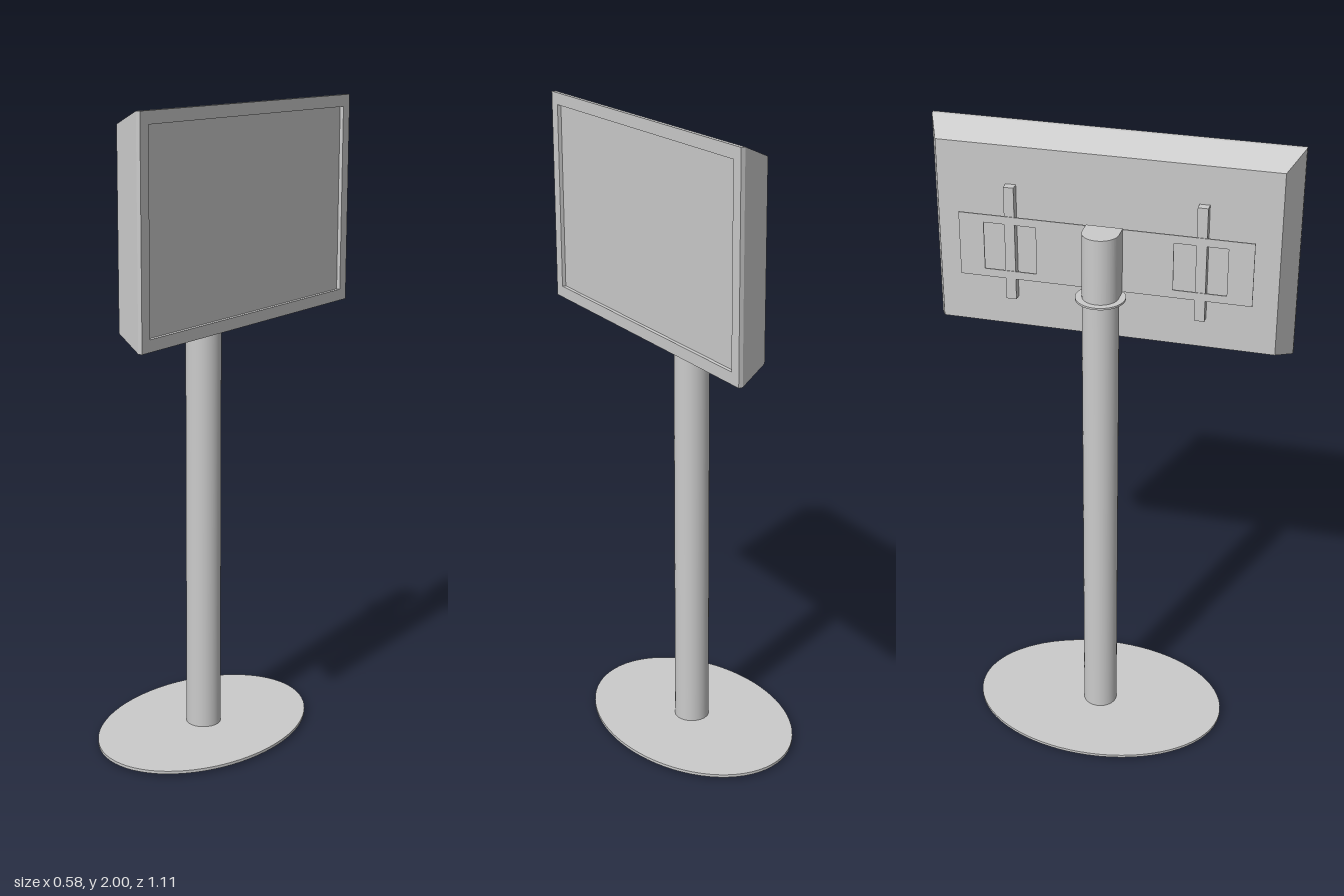
import * as THREE from 'three';

const material = new THREE.MeshStandardMaterial({ color: 0xcccccc });
const flatMaterial = new THREE.MeshStandardMaterial({ color: 0xcccccc, flatShading: true });

function add(group, name, geometry, x = 0, y = 0, z = 0, mat = material) {
  const mesh = new THREE.Mesh(geometry, mat);
  mesh.name = name;
  mesh.position.set(x, y, z);
  group.add(mesh);
  return mesh;
}

// Skins rectangular sections [x, halfWidth, bottom, top] from back to front, capped at both ends
function rectLoft(sections) {
  const points = [];
  const index = [];
  for (const [x, h, y0, y1] of sections) {
    points.push(x, y0, h, x, y0, -h, x, y1, -h, x, y1, h);
  }
  for (let s = 0; s < sections.length - 1; s++) {
    for (let i = 0; i < 4; i++) {
      const a = s * 4 + i, b = s * 4 + (i + 1) % 4;
      index.push(a, b, b + 4, a, b + 4, a + 4);
    }
  }
  const e = (sections.length - 1) * 4;
  index.push(0, 2, 1, 0, 3, 2, e, e + 1, e + 2, e, e + 2, e + 3);
  const geometry = new THREE.BufferGeometry();
  geometry.setAttribute('position', new THREE.Float32BufferAttribute(points, 3));
  geometry.setIndex(index);
  const flat = geometry.toNonIndexed();
  flat.computeVertexNormals();
  return flat;
}

// Upright prism, round at the back and cut flat at x = cut
function roundedBackPrism(shape, height) {
  const geometry = new THREE.ExtrudeGeometry(shape, { depth: height, bevelEnabled: false, curveSegments: 32 });
  return geometry.rotateX(-Math.PI / 2);
}

function rectPath(path, x0, x1, y0, y1) {
  path.moveTo(x0, y0);
  path.lineTo(x1, y0);
  path.lineTo(x1, y1);
  path.lineTo(x0, y1);
  path.closePath();
  return path;
}

export function createModel() {
  const model = new THREE.Group();
  model.name = 'displayStand';

  // Oval foot plate
  const base = new THREE.CylinderGeometry(1, 1, 0.009, 72);
  base.scale(0.29, 1, 0.413);
  add(model, 'basePlate', base, 0, 0.0125, 0);

  // Four small pads under the plate
  for (const [x, z] of [[0.26, 0], [-0.26, 0], [0, 0.26], [0, -0.26]]) {
    add(model, 'footPad', new THREE.CylinderGeometry(0.012, 0.012, 0.008, 16), x, 0.004, z);
  }

  // Column
  add(model, 'post', new THREE.CylinderGeometry(0.055, 0.055, 1.543, 48), 0, 0.7745, 0);

  // Thin collar, trimmed on the screen side
  const collar = new THREE.Shape();
  const a = Math.acos(0.055 / 0.075);
  collar.absarc(0, 0, 0.075, a, Math.PI * 2 - a, false);
  collar.closePath();
  add(model, 'collar', roundedBackPrism(collar, 0.006), 0, 1.542, 0);

  // Mounting head: half round with a flat face toward the plate
  const head = new THREE.Shape();
  head.moveTo(0.045, 0.055);
  head.lineTo(0, 0.055);
  head.absarc(0, 0, 0.055, Math.PI / 2, Math.PI * 1.5, false);
  head.lineTo(0.045, -0.055);
  head.closePath();
  add(model, 'mountHead', roundedBackPrism(head, 0.205), 0, 1.547, 0);

  // Wall-mount plate with a window on each side
  const plate = rectPath(new THREE.Shape(), -0.443, 0.443, -0.1, 0.1);
  for (const s of [-1, 1]) {
    plate.holes.push(rectPath(new THREE.Path(), s * 0.287 - 0.08, s * 0.287 + 0.08, -0.075, 0.075));
  }
  const plateGeometry = new THREE.ExtrudeGeometry(plate, { depth: 0.004, bevelEnabled: false });
  plateGeometry.rotateY(Math.PI / 2);
  add(model, 'mountPlate', plateGeometry, 0.042, 1.65, 0);

  // Vertical rails holding the screen
  for (const s of [-1, 1]) {
    add(model, 'mountRail', new THREE.BoxGeometry(0.027, 0.36, 0.031), 0.0575, 1.662, s * 0.288);
  }

  // Screen housing with tapered back and recessed panel
  add(model, 'screen', rectLoft([
    [0.07, 0.514, 1.385, 1.96],
    [0.167, 0.555, 1.344, 2.0],
    [0.18, 0.555, 1.344, 2.0],
    [0.18, 0.517, 1.38, 1.963],
    [0.168, 0.517, 1.38, 1.963],
  ]), 0, 0, 0, flatMaterial);

  return model;
}
